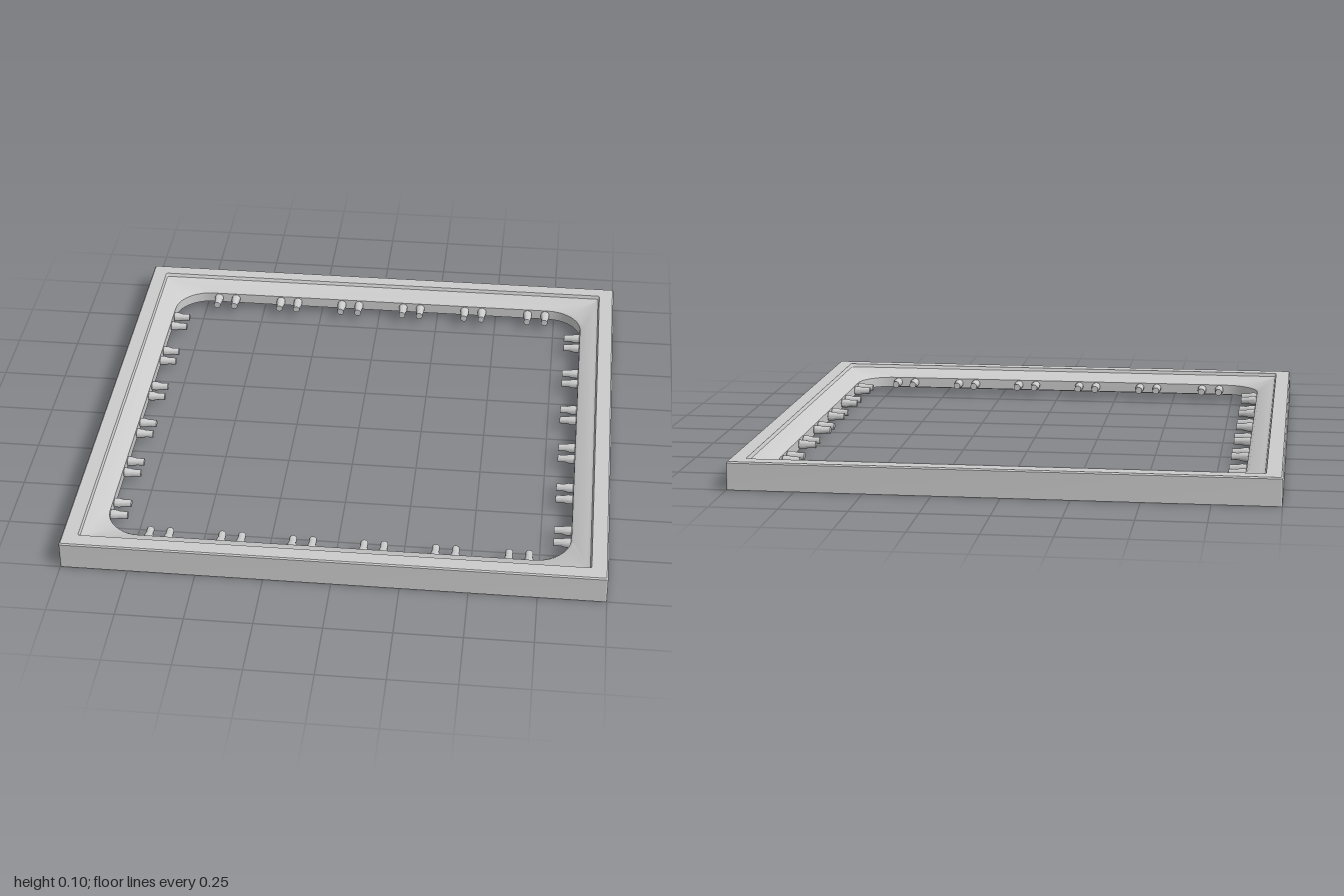
import * as THREE from 'three';
import { toCreasedNormals } from 'three/addons/utils/BufferGeometryUtils.js';

// Closed band lofted through rounded-square rings: [half size, corner radius, height]
function loftRings(rings, steps = 10) {
  const pos = [], idx = [], n = 4 * (steps + 1);
  for (const [s, r, y] of rings) {
    for (let c = 0; c < 4; c++) {
      const mid = Math.PI / 4 + c * Math.PI / 2;
      const cx = Math.sign(Math.cos(mid)) * (s - r), cz = Math.sign(Math.sin(mid)) * (s - r);
      for (let i = 0; i <= steps; i++) {
        const a = (c + i / steps) * Math.PI / 2;
        pos.push(cx + r * Math.cos(a), y, cz + r * Math.sin(a));
      }
    }
  }
  for (let j = 0; j < rings.length; j++) {
    const k = (j + 1) % rings.length;
    for (let i = 0; i < n; i++) {
      const m = (i + 1) % n;
      idx.push(j * n + i, k * n + i, j * n + m, j * n + m, k * n + i, k * n + m);
    }
  }
  const g = new THREE.BufferGeometry();
  g.setAttribute('position', new THREE.Float32BufferAttribute(pos, 3));
  g.setIndex(idx);
  return toCreasedNormals(g, 0.5);
}

export function createModel() {
  const model = new THREE.Group();
  const mat = new THREE.MeshStandardMaterial({ color: 0xcccccc });

  // Frame: outer skirt, flat rim, recessed slope, inner lip and hollow underside
  const frame = new THREE.Mesh(loftRings([
    [1, 0.006, 0],
    [1, 0.006, 0.1],
    [0.995, 0.006, 0.105],
    [0.94, 0.008, 0.105],
    [0.935, 0.01, 0.092],
    [0.925, 0.015, 0.085],
    [0.872, 0.14, 0.07],
    [0.864, 0.14, 0.063],
    [0.864, 0.14, 0.022],
    [0.878, 0.14, 0.022],
    [0.882, 0.14, 0.055],
    [0.925, 0.02, 0.068],
    [0.96, 0.01, 0.075],
    [0.965, 0.008, 0],
  ]), mat);
  frame.name = 'frame';
  model.add(frame);

  // Paired pegs pointing inward from the lip on all four sides
  const profile = [[0, 0], [0.014, 0], [0.014, 0.03], [0.018, 0.045], [0.018, 0.064], [0.015, 0.068], [0, 0.068]];
  const pegGeo = toCreasedNormals(
    new THREE.LatheGeometry(profile.map(([x, y]) => new THREE.Vector2(x, y)), 14), 0.6);
  const centres = [-0.66, -0.39, -0.125, 0.14, 0.405, 0.675];
  for (let side = 0; side < 4; side++) {
    const pegs = new THREE.Group();
    pegs.name = ['frontPegs', 'leftPegs', 'backPegs', 'rightPegs'][side];
    const flip = side === 1 || side === 2 ? -1 : 1;
    const shift = side % 2 ? 0.01 : 0;
    for (const c of centres) {
      for (const d of [-0.037, 0.037]) {
        const peg = new THREE.Mesh(pegGeo, mat);
        peg.name = 'peg';
        peg.rotation.x = Math.PI / 2;
        peg.position.set(flip * (c + d + shift), 0.043, 0.798);
        pegs.add(peg);
      }
    }
    pegs.rotation.y = side * Math.PI / 2;
    model.add(pegs);
  }
  return model;
}
